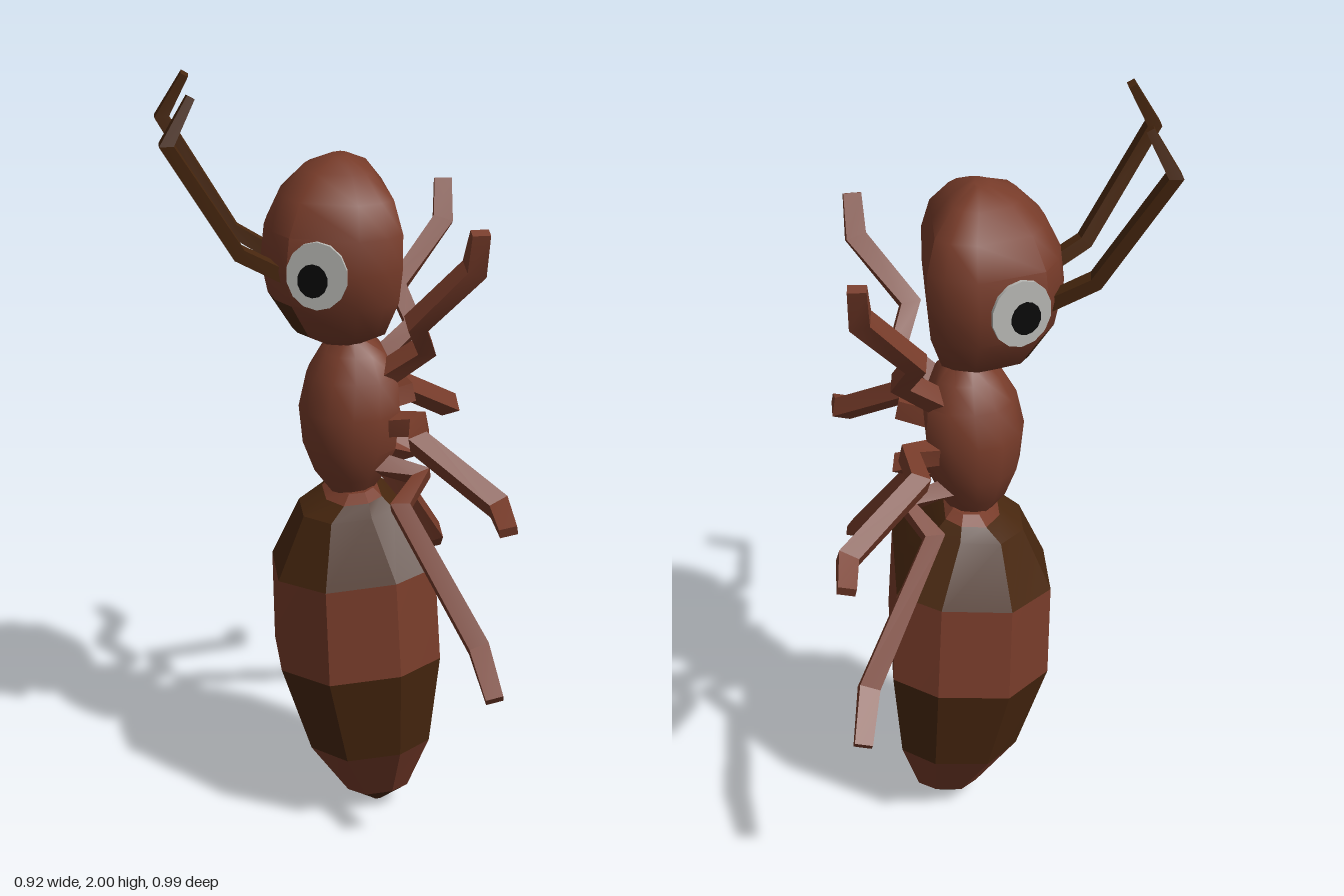
import * as THREE from 'three';
import { toCreasedNormals } from 'three/addons/utils/BufferGeometryUtils.js';

const mat = (name, color) => {
  const m = new THREE.MeshStandardMaterial({ color });
  m.name = name;
  return m;
};
const V = (x, y, z) => new THREE.Vector3(x, y, z);

// Skin a list of rings; pick(centre) chooses 0 or 1 as the material of each quad.
function loft(rings, crease, pick = () => 0) {
  const lists = [[], []];
  const quad = (pts) => {
    const c = V(0, 0, 0);
    pts.forEach((p) => c.addScaledVector(p, 1 / pts.length));
    const list = lists[pick(c)];
    for (let i = 1; i < pts.length - 1; i++) list.push([pts[0], pts[i], pts[i + 1]]);
  };
  const n = rings[0].length;
  for (let k = 0; k < rings.length - 1; k++) {
    for (let i = 0; i < n; i++) {
      const j = (i + 1) % n;
      quad([rings[k][i], rings[k][j], rings[k + 1][j], rings[k + 1][i]]);
    }
  }
  quad([...rings[0]].reverse());
  quad(rings[rings.length - 1]);
  // Turn the faces outwards if the enclosed volume is negative
  const tris = [...lists[0], ...lists[1]];
  let volume = 0;
  tris.forEach(([a, b, c]) => { volume += a.dot(b.clone().cross(c)); });
  const pos = [];
  tris.forEach(([a, b, c]) => {
    (volume < 0 ? [a, c, b] : [a, b, c]).forEach((p) => pos.push(p.x, p.y, p.z));
  });
  const geo = new THREE.BufferGeometry();
  geo.setAttribute('position', new THREE.Float32BufferAttribute(pos, 3));
  geo.computeVertexNormals();
  const out = toCreasedNormals(geo, crease);
  out.clearGroups();
  out.addGroup(0, lists[0].length * 3, 0);
  if (lists[1].length) out.addGroup(lists[0].length * 3, lists[1].length * 3, 1);
  return out;
}

// Body rings from rows of [y, back x, belly x, half width] and a half section
function bodyRings(rows, half, tilt = 0) {
  const section = [...half, ...half.filter((p) => p[1] > 0).reverse().map(([a, b]) => [a, -b])];
  return rows.map(([y, back, belly, w]) => {
    const c = (back + belly) / 2, r = (belly - back) / 2;
    return section.map(([a, b]) => V(c + a * r, y + a * r * tilt, b * w));
  });
}

// Four-sided limb along points, with a [width, depth] at each
function limb(points, sizes, ref) {
  const rings = points.map((p, i) => {
    const dir = V(0, 0, 0);
    if (i > 0) dir.add(p.clone().sub(points[i - 1]).normalize());
    if (i < points.length - 1) dir.add(points[i + 1].clone().sub(p).normalize());
    dir.normalize();
    const a = ref.clone().addScaledVector(dir, -ref.dot(dir)).normalize();
    const b = dir.clone().cross(a);
    const [w, d] = sizes[i];
    return [[1, 1], [-1, 1], [-1, -1], [1, -1]].map(([s, t]) =>
      p.clone().addScaledVector(a, s * w / 2).addScaledVector(b, t * d / 2));
  });
  return loft(rings, 0.3);
}

export function createModel() {
  const brown = mat('reddish brown', 0x783c2a);
  const dark = mat('dark brown', 0x48270f);
  const grey = mat('eye white', 0xb8b8b4);
  const black = mat('pupil black', 0x080808);

  const model = new THREE.Group();
  model.name = 'ant';
  const body = new THREE.Group();
  body.name = 'body';
  body.rotation.y = -0.157;
  body.position.z = -0.045;
  model.add(body);
  const add = (name, geo, material, parent = body) => {
    const m = new THREE.Mesh(geo, material);
    m.name = name;
    parent.add(m);
    return m;
  };

  // Head with a dark mouth area low on the face
  const headHalf = [[1, 0], [1, 0.7], [0.75, 0.9], [0.3, 1], [-0.7, 0.72], [-0.92, 0.38], [-1, 0]];
  const headRows = [
    [1.345, -0.04, 0.06, 0.06], [1.38, -0.11, 0.115, 0.12], [1.475, -0.17, 0.143, 0.185],
    [1.56, -0.188, 0.15, 0.2], [1.65, -0.178, 0.15, 0.2], [1.73, -0.14, 0.13, 0.165],
    [1.79, -0.08, 0.085, 0.11], [1.82, -0.01, 0.03, 0.035],
  ];
  add('head', loft(bodyRings(headRows, headHalf), 0.75,
    (c) => (c.y < 1.45 && c.x < -0.09 ? 1 : 0)), [brown, dark]);

  // Thorax
  const thoraxHalf = [[1, 0], [1, 0.6], [0.55, 0.95], [0, 1], [-0.5, 0.87], [-0.87, 0.5], [-1, 0]];
  const thoraxRows = [
    [0.93, -0.01, 0.08, 0.06], [0.99, -0.055, 0.115, 0.1], [1.07, -0.085, 0.145, 0.135],
    [1.17, -0.095, 0.155, 0.145], [1.26, -0.075, 0.15, 0.125], [1.32, -0.04, 0.12, 0.09],
    [1.36, 0, 0.08, 0.06],
  ];
  add('thorax', loft(bodyRings(thoraxRows, thoraxHalf), 0.8), brown);

  // Abdomen: banded segments, each running from one ring to the next
  const abdomenHalf = [[1, 0], [1, 0.72], [0.45, 1], [-0.45, 0.95], [-1, 0.42], [-1, 0]];
  const abdomenRows = [
    [0.955, 0, 0.09, 0.09], [0.935, -0.03, 0.11, 0.12], [0.9, -0.09, 0.14, 0.145],
    [0.745, -0.16, 0.24, 0.225], [0.49, -0.155, 0.255, 0.245], [0.235, -0.075, 0.235, 0.195],
    [0.063, 0.03, 0.19, 0.085], [0.008, 0.1, 0.13, 0.02],
  ];
  const abdomenRings = bodyRings(abdomenRows, abdomenHalf, 0.12);
  const bands = [[0, 1, brown], [1, 3, dark], [3, 4, brown], [4, 5, dark], [5, 6, brown], [6, 7, dark]];
  bands.forEach(([a, b, m], i) =>
    add('abdomenBand' + (i + 1), loft(abdomenRings.slice(a, b + 1), 0.35), m));

  // Leg joints as [x, y, z] from hip to toe
  const legs = {
    frontLeg: [[0.11, 1.26, 0.06], [0.215, 1.345, 0.095], [0.18, 1.43, 0.165], [0.31, 1.585, 0.235], [0.315, 1.685, 0.275]],
    middleLeg: [[0.11, 1.14, 0.08], [0.2, 1.15, 0.12], [0.18, 1.145, 0.235], [0.36, 1.02, 0.37], [0.365, 0.995, 0.47]],
    rearLeg: [[0.1, 1.03, 0.07], [0.21, 1, 0.1], [0.145, 0.95, 0.18], [0.32, 0.635, 0.37], [0.34, 0.55, 0.49]],
  };
  const legSizes = [[0.05, 0.05], [0.05, 0.05], [0.05, 0.05], [0.052, 0.05], [0.045, 0.025]];

  for (const side of [1, -1]) {
    const tag = side > 0 ? 'Left' : 'Right';
    const at = ([x, y, z]) => V(x, y, z * side);

    for (const [name, joints] of Object.entries(legs))
      add(name + tag, limb(joints.map(at), legSizes, V(1, 0.2, 0)), brown);

    // Antenna
    const feeler = [[-0.13, 1.54, 0.09], [-0.25, 1.61, 0.115], [-0.417, 1.89, 0.165], [-0.357, 1.998, 0.147]];
    add('antenna' + tag, limb(feeler.map(at),
      [[0.04, 0.035], [0.04, 0.035], [0.045, 0.035], [0.03, 0.02]], V(0, 0, 1)), dark);

    // Eye plates lying on the side of the head
    const eye = new THREE.Group();
    eye.name = 'eye' + tag;
    eye.position.set(-0.064, 1.568, 0.186 * side);
    eye.rotation.y = side > 0 ? -0.35 : Math.PI + 0.35;
    body.add(eye);
    const disc = (r, h) => new THREE.CylinderGeometry(r, r, h, 14).rotateX(Math.PI / 2);
    const white = add('eyeWhite' + tag, disc(0.085, 0.009), grey, eye);
    white.scale.x = 0.9;
    white.position.z = 0.007;
    const pupil = add('pupil' + tag, disc(0.042, 0.006), black, eye);
    pupil.scale.x = 0.9;
    pupil.position.set(-0.01 * side, -0.012, 0.012);
  }
  return model;
}
